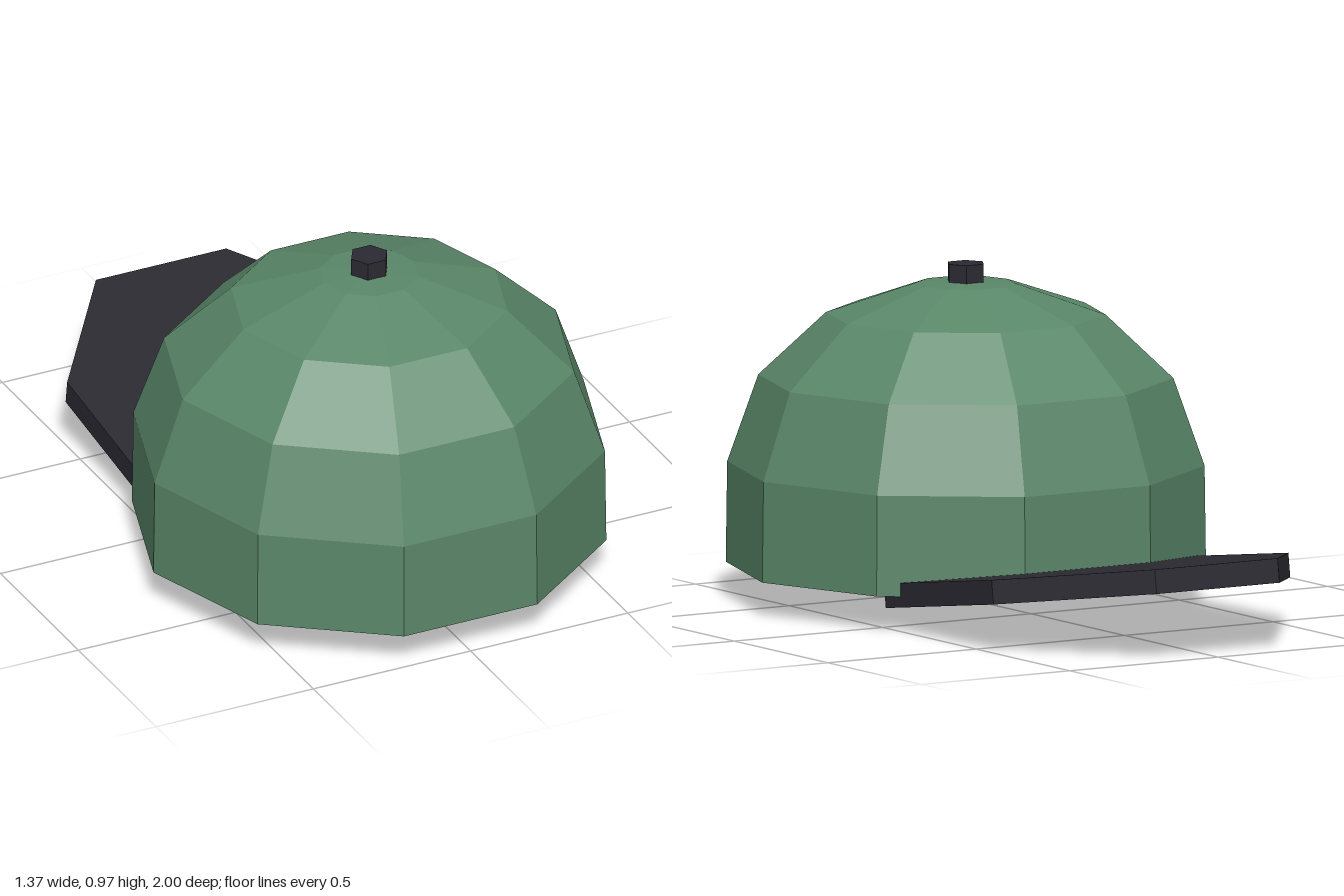
import * as THREE from 'three';

const green = new THREE.MeshStandardMaterial({ color: 0x5a8769 });
green.name = 'cloth green';
const dark = new THREE.MeshStandardMaterial({ color: 0x2b2a32 });
dark.name = 'dark grey';

// Faceted mesh: every face gets its own flat normal
function part(name, geometry, material) {
  const flat = geometry.toNonIndexed();
  flat.computeVertexNormals();
  const mesh = new THREE.Mesh(flat, material);
  mesh.name = name;
  return mesh;
}

export function createModel() {
  const cap = new THREE.Group();
  cap.name = 'cap';
  const crownZ = 0.348;

  // Ten-sided crown with a closed underside
  const profile = [
    [0, 0.1], [0.686, 0.1], [0.682, 0.39], [0.593, 0.641],
    [0.4, 0.822], [0.142, 0.91], [0, 0.919],
  ].map(([r, y]) => new THREE.Vector2(r, y));
  const crown = part('crown', new THREE.LatheGeometry(profile, 10, Math.PI / 2), green);
  crown.position.z = crownZ;
  cap.add(crown);

  // Six-sided button on top
  const buttonGeo = new THREE.CylinderGeometry(0.057, 0.057, 0.057, 6);
  buttonGeo.rotateY(Math.PI / 6);
  const button = part('button', buttonGeo, dark);
  button.position.set(0, 0.939, crownZ);
  cap.add(button);

  // Stretched octagonal brim, tilted up towards the back
  const brimRadius = 0.5 / Math.cos(Math.PI / 8);
  const brimGeo = new THREE.CylinderGeometry(brimRadius, brimRadius, 0.07, 8);
  brimGeo.rotateY(Math.PI / 8);
  brimGeo.scale(1, 1, 1.404);
  brimGeo.rotateX(0.1415);
  const brim = part('brim', brimGeo, dark);
  brim.position.set(0, 0.1335, -0.3);
  cap.add(brim);

  return cap;
}
